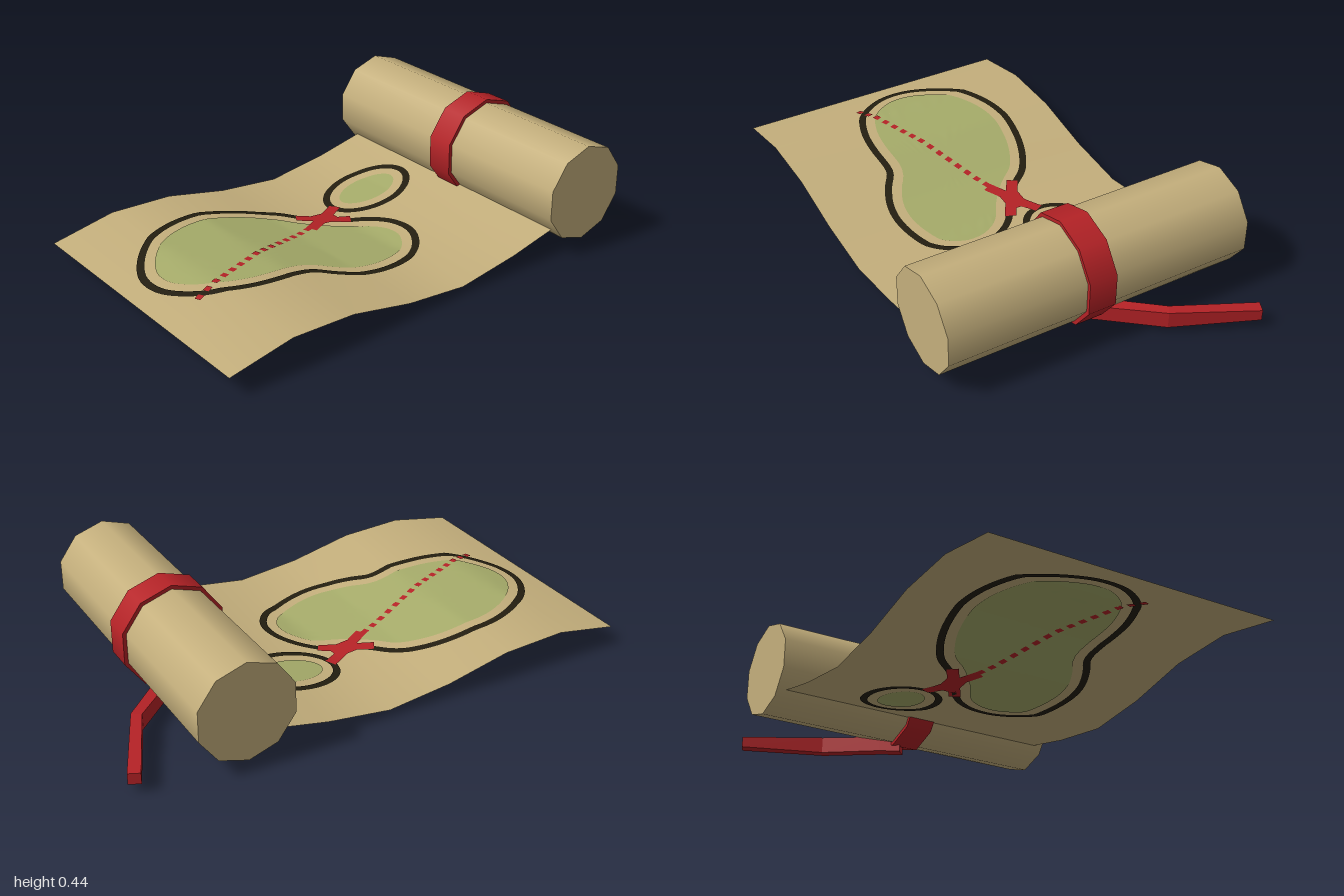
import * as THREE from 'three';

const mat = (name, color, side = THREE.FrontSide) => {
  const m = new THREE.MeshStandardMaterial({ color, side });
  m.name = name;
  return m;
};

// Wavy sheet: straight facets between evenly spaced folds
const X0 = -1, X1 = 0.52, FOLDS = 6, STEP = (X1 - X0) / FOLDS;
const foldHeight = (k) => 0.075 + 0.05 * Math.sin(4.72 * k * STEP);
function sheetHeight(x) {
  const t = (x - X0) / STEP;
  const k = Math.min(FOLDS - 1, Math.max(0, Math.floor(t)));
  return THREE.MathUtils.lerp(foldHeight(k), foldHeight(k + 1), t - k);
}

// Surface through rows of [x, z] points, draped over the sheet
function drape(rows, lift) {
  const n = rows[0].length, pos = [], idx = [];
  rows.forEach((row) => row.forEach(([x, z]) => pos.push(x, sheetHeight(x) + lift, z)));
  for (let r = 0; r < rows.length - 1; r++) {
    for (let i = 0; i < n - 1; i++) {
      const a = r * n + i, b = a + n;
      idx.push(a, b, a + 1, b, b + 1, a + 1);
    }
  }
  const g = new THREE.BufferGeometry();
  g.setAttribute('position', new THREE.Float32BufferAttribute(pos, 3));
  g.setIndex(idx);
  g.computeVertexNormals();
  return g;
}

// Closed loop of a curve, moved inward by d
function insetLoop(curve, d, n = 120) {
  return Array.from({ length: n + 1 }, (_, i) => {
    const u = (i % n) / n, p = curve.getPointAt(u), t = curve.getTangentAt(u);
    return [p.x + t.z * d, p.z - t.x * d];
  });
}

// Straight stroke of width w from a to b
function strokeRows(a, b, w) {
  const dx = b[0] - a[0], dz = b[1] - a[1], l = Math.hypot(dx, dz);
  const nx = (-dz / l) * w / 2, nz = (dx / l) * w / 2;
  return [-1, 1].map((s) => Array.from({ length: 5 }, (_, i) =>
    [a[0] + dx * i / 4 + s * nx, a[1] + dz * i / 4 + s * nz]));
}

export function createModel() {
  const group = new THREE.Group();
  const D = THREE.DoubleSide;
  const paper = mat('parchment', 0xc4af7c, D);
  const green = mat('land green', 0xa6ac6a, D);
  const ink = mat('dark ink', 0x231e10, D);
  const red = mat('red', 0xb52226, D);

  const add = (name, geometry, material, parent = group) => {
    const m = new THREE.Mesh(geometry, material);
    m.name = name;
    parent.add(m);
    return m;
  };

  // Unrolled sheet
  const edge = (z) => Array.from({ length: FOLDS + 1 }, (_, k) => [X0 + k * STEP, z]);
  add('sheet', drape([edge(-0.57), edge(0.57)], 0), paper);

  // Painted map, on both faces of the sheet
  const map = new THREE.Group();
  map.name = 'mapDrawing';
  group.add(map);
  const paint = (name, rows, material, lift) =>
    [lift, -lift].forEach((l) => add(name, drape(rows, l), material, map));

  const curveOf = (pts) => new THREE.CatmullRomCurve3(
    pts.map(([x, z]) => new THREE.Vector3(x, 0, z)), true);
  const bigIsland = curveOf([
    [-0.13, -0.19], [-0.2, -0.27], [-0.32, -0.335], [-0.47, -0.365], [-0.61, -0.355],
    [-0.74, -0.3], [-0.84, -0.21], [-0.9, -0.1], [-0.9, 0], [-0.86, 0.08], [-0.78, 0.16],
    [-0.66, 0.21], [-0.52, 0.228], [-0.4, 0.228], [-0.33, 0.27], [-0.25, 0.305],
    [-0.15, 0.32], [-0.03, 0.3], [0.07, 0.25], [0.13, 0.16], [0.13, 0.07], [0.09, -0.01],
    [0.03, -0.07], [-0.05, -0.12]]);
  const smallIsland = curveOf(Array.from({ length: 16 }, (_, i) => {
    const a = (i / 16) * Math.PI * 2;
    return [0.213 + 0.18 * Math.cos(a), -0.207 - 0.13 * Math.sin(a)];
  }));

  [['bigIsland', bigIsland, [-0.3, 0.01], 0.052], ['smallIsland', smallIsland, [0.213, -0.207], 0.052]]
    .forEach(([name, curve, c, inset]) => {
      const rim = insetLoop(curve, inset);
      const rows = Array.from({ length: 13 }, (_, k) => rim.map(([x, z]) =>
        [c[0] + (x - c[0]) * k / 12, c[1] + (z - c[1]) * k / 12]));
      paint(name + 'Land', rows, green, 0.003);
      paint(name + 'Outline', [insetLoop(curve, -0.014), insetLoop(curve, 0.014)], ink, 0.003);
    });

  // Dashed route and crossing mark
  const from = [-0.83, 0.15], to = [-0.18, -0.09], dashes = 15;
  for (let i = 0; i < dashes; i++) {
    const at = (t) => [0, 1].map((j) => from[j] + (to[j] - from[j]) * t);
    const t = i / (dashes - 1);
    paint('routeDash', strokeRows(at(t - 0.018), at(t + 0.018), 0.024), red, 0.005);
  }
  paint('crossStroke', strokeRows([-0.155, -0.195], [0.025, -0.08], 0.045), red, 0.005);
  paint('crossStroke', strokeRows([-0.165, -0.085], [0.04, -0.2], 0.045), red, 0.005);
  paint('crossCentre', strokeRows([-0.105, -0.14], [-0.005, -0.14], 0.08), red, 0.006);

  // Rolled part and the band around it
  const roll = add('roll', new THREE.CylinderGeometry(0.19, 0.19, 1.216, 10), paper);
  roll.rotation.x = Math.PI / 2;
  roll.position.set(0.596, 0.23, 0);
  const band = add('band', new THREE.CylinderGeometry(0.205, 0.205, 0.11, 10), red);
  band.rotation.x = Math.PI / 2;
  band.position.set(0.596, 0.23, 0.018);

  // Loose ribbon end: box bent through sections [x, z, bottom, top, half width]
  const sections = [
    [0.6, 0.005, 0, 0.035, 0.024], [0.66, -0.055, 0.01, 0.07, 0.024],
    [0.838, -0.235, 0.025, 0.09, 0.02], [0.977, -0.535, 0.035, 0.078, 0.023]];
  const box = new THREE.BoxGeometry(1, 1, 1, 1, 1, 3);
  const p = box.attributes.position;
  for (let i = 0; i < p.count; i++) {
    const k = Math.round((0.5 - p.getZ(i)) * 3);
    const [x, z, y0, y1, w] = sections[k];
    const a = sections[Math.max(0, k - 1)], b = sections[Math.min(3, k + 1)];
    const dx = b[0] - a[0], dz = b[1] - a[1], l = Math.hypot(dx, dz);
    const s = Math.sign(p.getX(i)) * w / l;
    p.setXYZ(i, x - dz * s, p.getY(i) > 0 ? y1 : y0, z + dx * s);
  }
  const ribbon = box.toNonIndexed();
  ribbon.computeVertexNormals();
  add('ribbonEnd', ribbon, red);

  return group;
}
